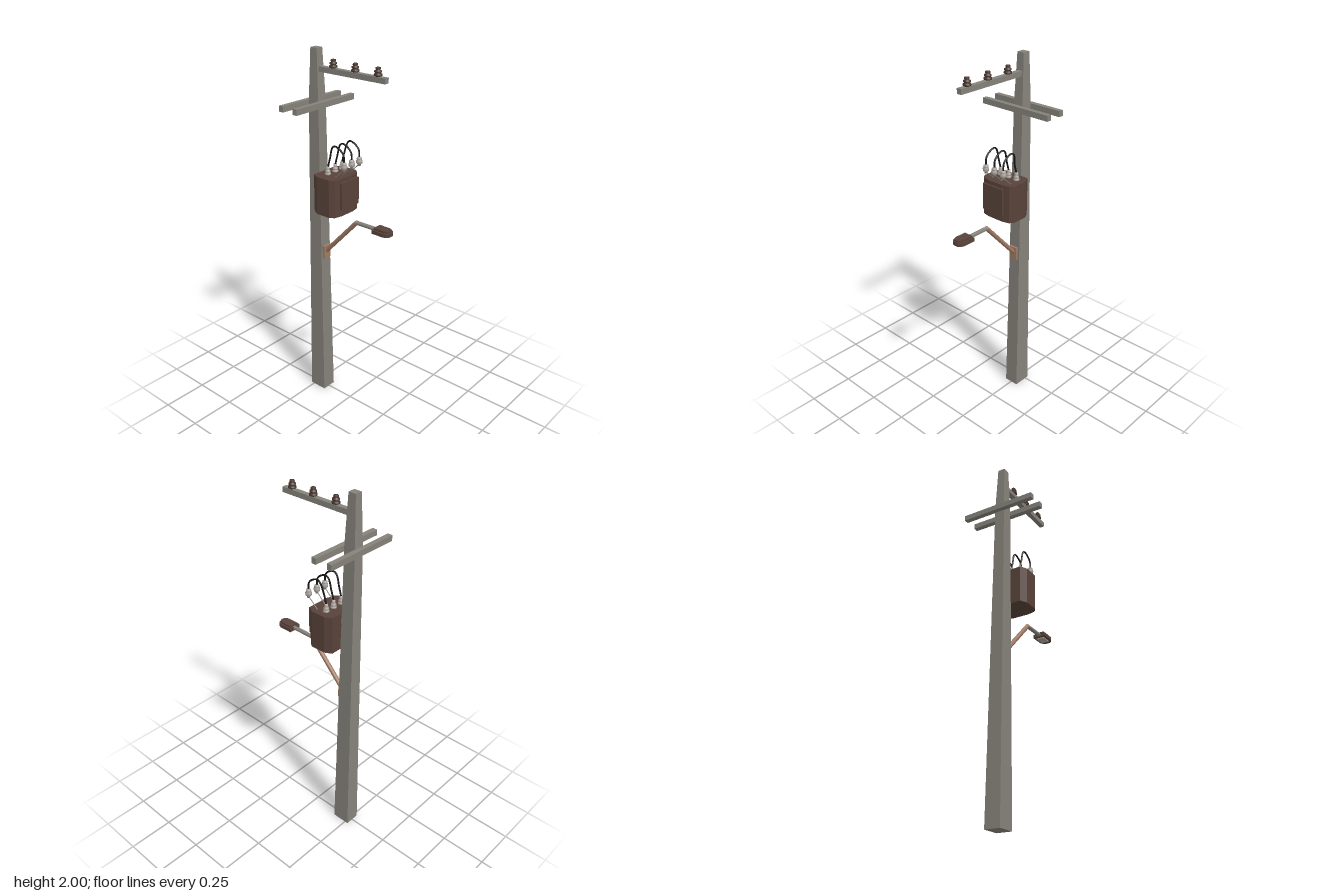
import * as THREE from 'three';

const mat = (name, color) => {
  const m = new THREE.MeshStandardMaterial({ color });
  m.name = name;
  return m;
};

export function createModel() {
  const concrete = mat('concrete grey', 0x85827a);
  const brown = mat('tank brown', 0x58423a);
  const dark = mat('insulator brown', 0x47352d);
  const porcelain = mat('pale porcelain', 0xaaa49e);
  const rust = mat('rusty steel', 0xa07a64);
  const black = mat('cable black', 0x161616);
  const root = new THREE.Group();
  root.name = 'utilityPole';

  const add = (name, geo, material, x = 0, y = 0, z = 0, parent = root) => {
    const m = new THREE.Mesh(geo, material);
    m.name = name;
    m.position.set(x, y, z);
    parent.add(m);
    return m;
  };
  // box given by its lower and upper limits
  const box = (name, material, [x0, x1], [y0, y1], [z0, z1]) =>
    add(name, new THREE.BoxGeometry(x1 - x0, y1 - y0, z1 - z0), material,
      (x0 + x1) / 2, (y0 + y1) / 2, (z0 + z1) / 2);
  // straight rod between two points
  const rod = (name, material, a, b, r, sides = 10) => {
    const p = new THREE.Vector3(...a), q = new THREE.Vector3(...b);
    const d = q.clone().sub(p);
    const m = add(name, new THREE.CylinderGeometry(r, r, d.length(), sides), material);
    m.position.copy(p).add(q).multiplyScalar(0.5);
    m.quaternion.setFromUnitVectors(new THREE.Vector3(0, 1, 0), d.normalize());
    return m;
  };
  const lathe = (pts, sides = 16) =>
    new THREE.LatheGeometry(pts.map(p => new THREE.Vector2(...p)), sides).toNonIndexed();
  // vertical prism from an outline in x and z
  const prism = (pts, h) => {
    const shape = new THREE.Shape(pts.map(([x, z]) => new THREE.Vector2(x, -z)));
    return new THREE.ExtrudeGeometry(shape, { depth: h, bevelEnabled: false }).rotateX(-Math.PI / 2);
  };

  // Square pole, tapering faster near the top
  let pole = new THREE.BoxGeometry(2, 2, 2, 1, 2, 1);
  const levels = [[0, 0.051, 0.042], [1.74, 0.032, 0.028], [2, 0.021, 0.02]];
  const pos = pole.attributes.position;
  for (let i = 0; i < pos.count; i++) {
    const [y, hx, hz] = levels[Math.round(pos.getY(i)) + 1];
    pos.setXYZ(i, pos.getX(i) * hx, y, pos.getZ(i) * hz);
  }
  pole = pole.toNonIndexed();
  pole.computeVertexNormals();
  add('pole', pole, concrete, -0.218);

  // Cross arms
  box('topArm', concrete, [-0.21, 0.222], [1.885, 1.912], [-0.014, 0.014]);
  box('crossArmRight', concrete, [-0.275, -0.248], [1.711, 1.741], [-0.213, 0.213]);
  box('crossArmLeft', concrete, [-0.182, -0.155], [1.711, 1.741], [-0.213, 0.213]);

  // Ribbed insulators along the top arm
  const ribbed = lathe([[0.012, 0], [0.02, 0.004], [0.02, 0.012], [0.012, 0.016], [0.018, 0.02],
    [0.018, 0.027], [0.009, 0.031], [0.013, 0.035], [0.012, 0.042], [0, 0.045]]);
  for (const x of [-0.107, 0.033, 0.17]) add('armInsulator', ribbed, dark, x, 1.912);

  // Transformer tank with chamfered outline
  const half = [[-0.172, 0.085], [-0.135, 0.105], [-0.052, 0.105], [-0.028, 0.088], [-0.018, 0.045]];
  const outline = [...half, ...half.map(([x, z]) => [x, -z]).reverse()];
  add('transformerTank', prism(outline, 0.205), brown, 0, 1.17);
  box('tankBracketUpper', concrete, [-0.2, -0.17], [1.32, 1.345], [-0.025, 0.025]);
  box('tankBracketLower', concrete, [-0.2, -0.17], [1.2, 1.225], [-0.025, 0.025]);

  // Radiator panel on the tank
  box('radiatorCore', dark, [-0.025, -0.009], [1.225, 1.35], [-0.055, 0.055]);
  box('radiatorPlate', brown, [-0.009, 0.002], [1.215, 1.36], [-0.067, 0.067]);

  // Bushings, raised arresters and the cables joining them
  const bushing = lathe([[0.009, 0], [0.016, 0.004], [0.016, 0.011], [0.01, 0.014], [0.014, 0.018],
    [0.014, 0.025], [0.008, 0.029], [0.01, 0.034], [0.008, 0.046], [0, 0.047]], 12);
  const arrester = lathe([[0, 0], [0.008, 0], [0.009, 0.01], [0.016, 0.013], [0.017, 0.027],
    [0.011, 0.031], [0.014, 0.035], [0.013, 0.043], [0.006, 0.047], [0, 0.048]], 12);
  for (const [z0, z1] of [[-0.063, -0.072], [-0.01, -0.012], [0.046, 0.046]]) {
    add('tankBushing', bushing, porcelain, -0.11, 1.375, z0);
    add('arrester', arrester, porcelain, 0, 1.42, z1);
    rod('arresterStay', concrete, [-0.06, 1.372, z1], [0, 1.428, z1], 0.0025, 6);
    const path = new THREE.CatmullRomCurve3([[-0.11, 1.415, z0], [-0.095, 1.467, z0],
      [-0.077, 1.528, z1], [-0.058, 1.538, z1], [-0.018, 1.52, z1], [-0.002, 1.498, z1], [0, 1.462, z1]]
      .map(p => new THREE.Vector3(...p)), false, 'centripetal');
    add('cable', new THREE.TubeGeometry(path, 32, 0.0045, 8), black);
  }

  // Street lamp bracket and arm
  box('lampBracket', rust, [-0.188, -0.163], [0.868, 0.942], [-0.024, 0.024]);
  const bend = [0.045, 1.137, 0];
  rod('lampArmSlope', rust, [-0.17, 0.908, 0], bend, 0.012, 12);
  add('lampArmElbow', new THREE.SphereGeometry(0.012, 12, 8), rust, ...bend);
  rod('lampArmLevel', concrete, bend, [0.185, 1.138, 0], 0.011, 12);

  // Lamp head with rounded nose, seam and lens
  const nose = (s) => {
    const h = [[0.172, 0.035 * s], [0.245, 0.035 * s], [0.262, 0.027 * s], [0.272, 0.014 * s]];
    return [...h, ...h.map(([x, z]) => [x, -z]).reverse()];
  };
  add('lampHead', prism(nose(1), 0.02), brown, 0, 1.125);
  const cap = prism(nose(0.75), 0.01);
  cap.translate(-0.222, 0, 0).scale(0.88, 1, 1).translate(0.222, 0, 0);
  add('lampCap', cap, brown, 0, 1.145);
  box('lampLens', porcelain, [0.185, 0.245], [1.12, 1.126], [-0.022, 0.022]);

  return root;
}
